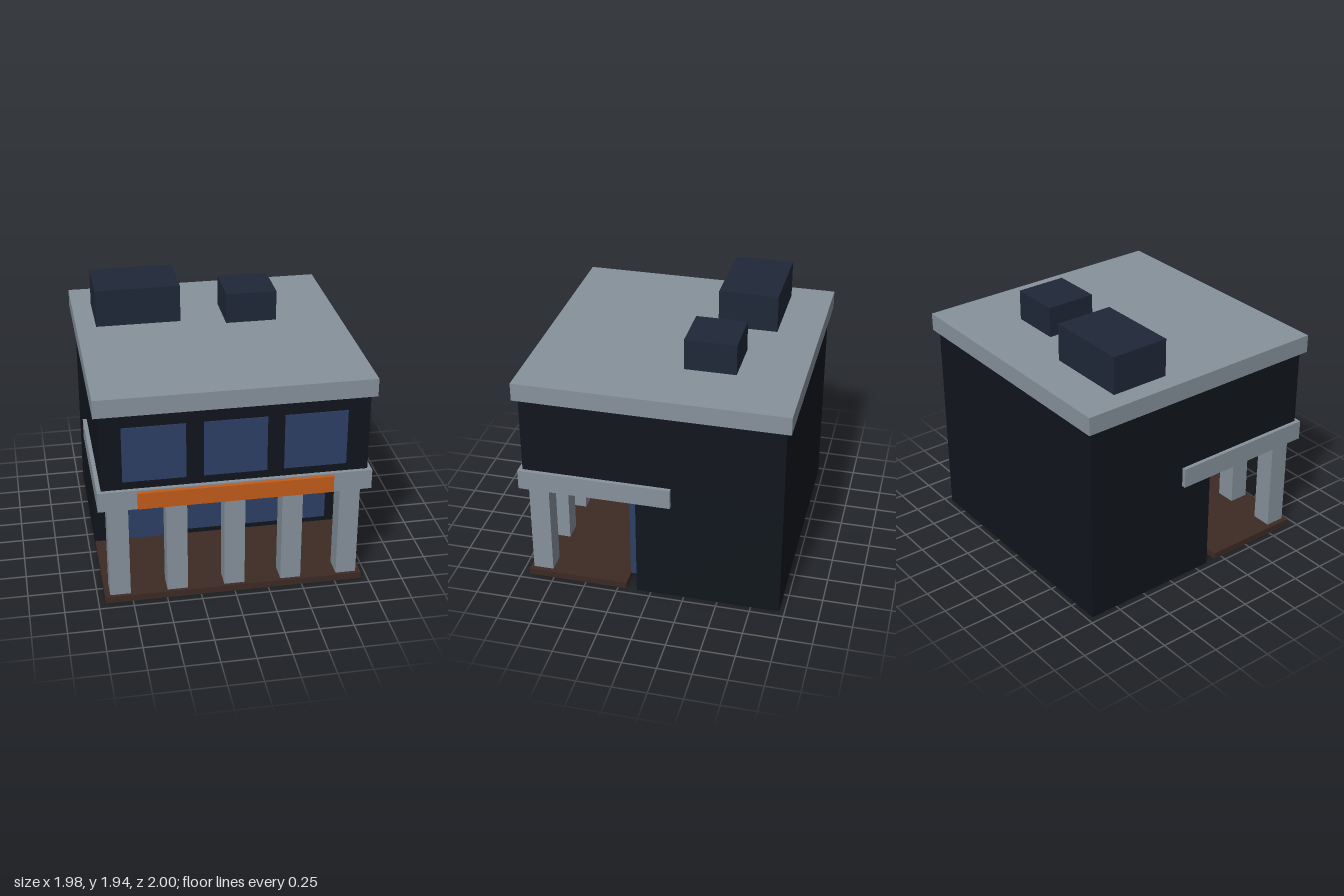
import * as THREE from 'three';

const mat = (color) => new THREE.MeshStandardMaterial({ color });

export function createModel() {
  const model = new THREE.Group();
  const wall = mat(0x11161d), concrete = mat(0x87929c), glass = mat(0x2d4065);
  const orange = mat(0xc45c1a), unit = mat(0x1f2838), deck = mat(0x3d2a24);

  // Box given by its [min, max] extent on each axis
  const box = (name, material, [x0, x1], [y0, y1], [z0, z1]) => {
    const mesh = new THREE.Mesh(new THREE.BoxGeometry(x1 - x0, y1 - y0, z1 - z0), material);
    mesh.position.set((x0 + x1) / 2, (y0 + y1) / 2, (z0 + z1) / 2);
    mesh.name = name;
    model.add(mesh);
  };

  // Walls: recessed ground floor, overhanging upper floor
  box('groundFloor', wall, [-0.95, 0.95], [0, 0.85], [-0.96, 0.107]);
  box('upperFloor', wall, [-0.95, 0.95], [0.85, 1.53], [-0.96, 0.94]);

  // Slabs: porch deck, canopy, roof
  box('porchDeck', deck, [-0.95, 0.95], [0, 0.05], [0.185, 0.94]);
  box('canopy', concrete, [-0.98, 0.98], [0.79, 0.94], [-0.155, 0.97]);
  box('roof', concrete, [-0.988, 0.988], [1.525, 1.66], [-0.995, 0.975]);

  // Porch columns
  for (let i = -2; i <= 2; i++) {
    const x = i * 0.419;
    box('column', concrete, [x - 0.075, x + 0.075], [0.02, 0.79], [0.765, 0.915]);
  }

  // Shopfront: door on the right-hand end, windows beside it
  box('door', glass, [-0.82, -0.38], [0, 0.79], [0.107, 0.178]);
  box('shopWindow', glass, [-0.38, 0.86], [0.08, 0.79], [0.107, 0.175]);
  box('shopfrontTrim', orange, [-0.86, 0.86], [0.725, 0.79], [0.175, 0.212]);

  // Upper windows
  for (const x of [-0.575, -0.003, 0.567])
    box('upperWindow', glass, [x - 0.224, x + 0.224], [1.0, 1.42], [0.92, 0.946]);

  // Fascia board on the canopy
  box('signBoard', orange, [-0.7, 0.695], [0.805, 0.93], [0.965, 1.0]);

  // Rooftop units
  box('largeRoofUnit', unit, [-0.84, -0.207], [1.65, 1.943], [-0.68, -0.237]);
  box('smallRoofUnit', unit, [0.125, 0.505], [1.65, 1.89], [-0.52, -0.142]);

  return model;
}
